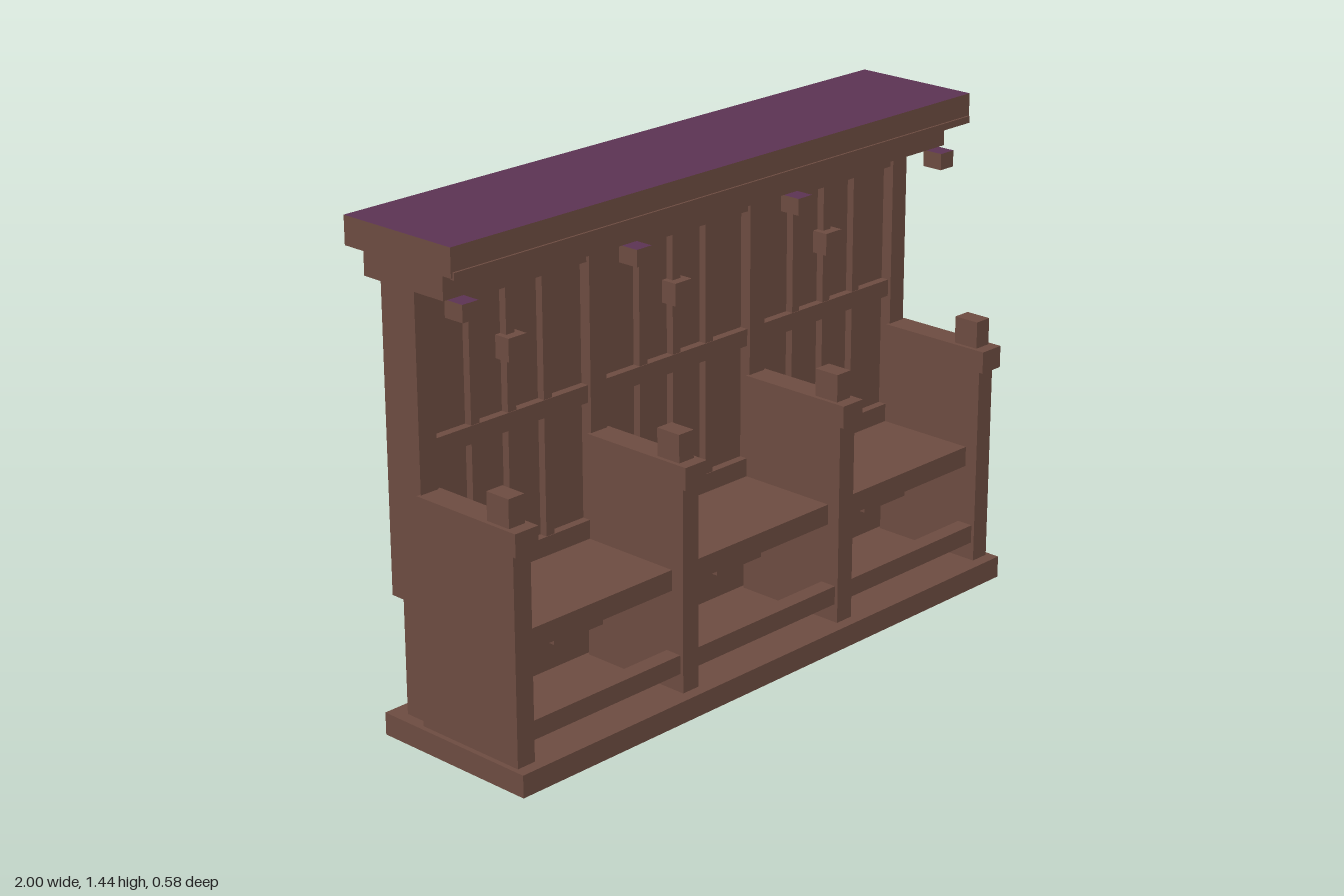
import * as THREE from 'three';

export function createModel() {
  const model = new THREE.Group();
  model.name = 'threeSeatStall';

  const wood = new THREE.MeshStandardMaterial({ color: 0x6d4c41 });
  wood.name = 'brown wood';
  const cloth = new THREE.MeshStandardMaterial({ color: 0x5c3353 });
  cloth.name = 'purple top';
  const purpleTopped = [wood, wood, cloth, wood, wood, wood];

  // Box given by its low and high limits on each axis
  function box(name, [x0, x1], [y0, y1], [z0, z1], material = wood) {
    const mesh = new THREE.Mesh(new THREE.BoxGeometry(x1 - x0, y1 - y0, z1 - z0), material);
    mesh.position.set((x0 + x1) / 2, (y0 + y1) / 2, (z0 + z1) / 2);
    mesh.name = name;
    model.add(mesh);
    return mesh;
  }
  const around = (centre, width) => [centre - width / 2, centre + width / 2];

  // Plinth, lower back and the panel core of the tall back
  box('plinth', [-0.97, 0.97], [0, 0.065], [-0.24, 0.29]);
  box('lowerBack', [-0.935, 0.935], [0.065, 0.415], [-0.19, -0.115]);
  box('backPanel', [-0.93, 0.93], [0.42, 1.275], [-0.192, -0.12]);

  // Horizontal rails framing the panels on both faces
  for (const [name, y0, y1] of [
    ['bottomRail', 0.412, 0.47],
    ['middleRail', 0.81, 0.86],
    ['topRail', 1.205, 1.28],
  ]) {
    box(name, [-0.95, 0.95], [y0, y1], [-0.208, -0.095]);
  }

  // Stiles, dividers, armrests, finials and hanging blocks
  for (const x of [-0.925, -0.314, 0.314, 0.925]) {
    box('backStile', around(x, 0.06), [0.41, 1.28], [-0.21, -0.085]);
    box('divider', around(x, 0.06), [0.065, 0.66], [-0.105, 0.255]);
    box('armrest', around(x, 0.08), [0.66, 0.725], [-0.09, 0.275]);
    box('armPost', around(x, 0.055), [0.725, 0.805], [0.16, 0.24]);
    box('hangingBlock', around(x, 0.055), [1.23, 1.278], [0.025, 0.09], purpleTopped);
  }

  // Each bay: seat, bracket, foot rail, mullions and boss
  for (const x of [-0.62, 0, 0.62]) {
    const width = x === 0 ? 0.57 : 0.55;
    box('seat', around(x, width), [0.355, 0.415], [-0.1, 0.215]);
    box('seatBracket', around(x, 0.18), [0.295, 0.355], [0.04, 0.14]);
    box('footRail', around(x, width), [0.12, 0.175], [0.195, 0.245]);
    for (const offset of [-0.13, 0, 0.13]) {
      box('mullion', around(x + offset, 0.03), [0.46, 1.22], [-0.13, -0.097]);
    }
    box('boss', around(x, 0.065), [1.01, 1.075], [-0.12, -0.07]);
  }

  // Stepped cornice with a purple upper face
  box('cornice', [-0.97, 0.97], [1.28, 1.36], [-0.255, 0.04]);
  box('canopy', [-1, 1], [1.36, 1.44], [-0.29, 0.105], purpleTopped);
  box('canopyBead', [-0.995, 0.995], [1.355, 1.375], [0.098, 0.111]);

  return model;
}
